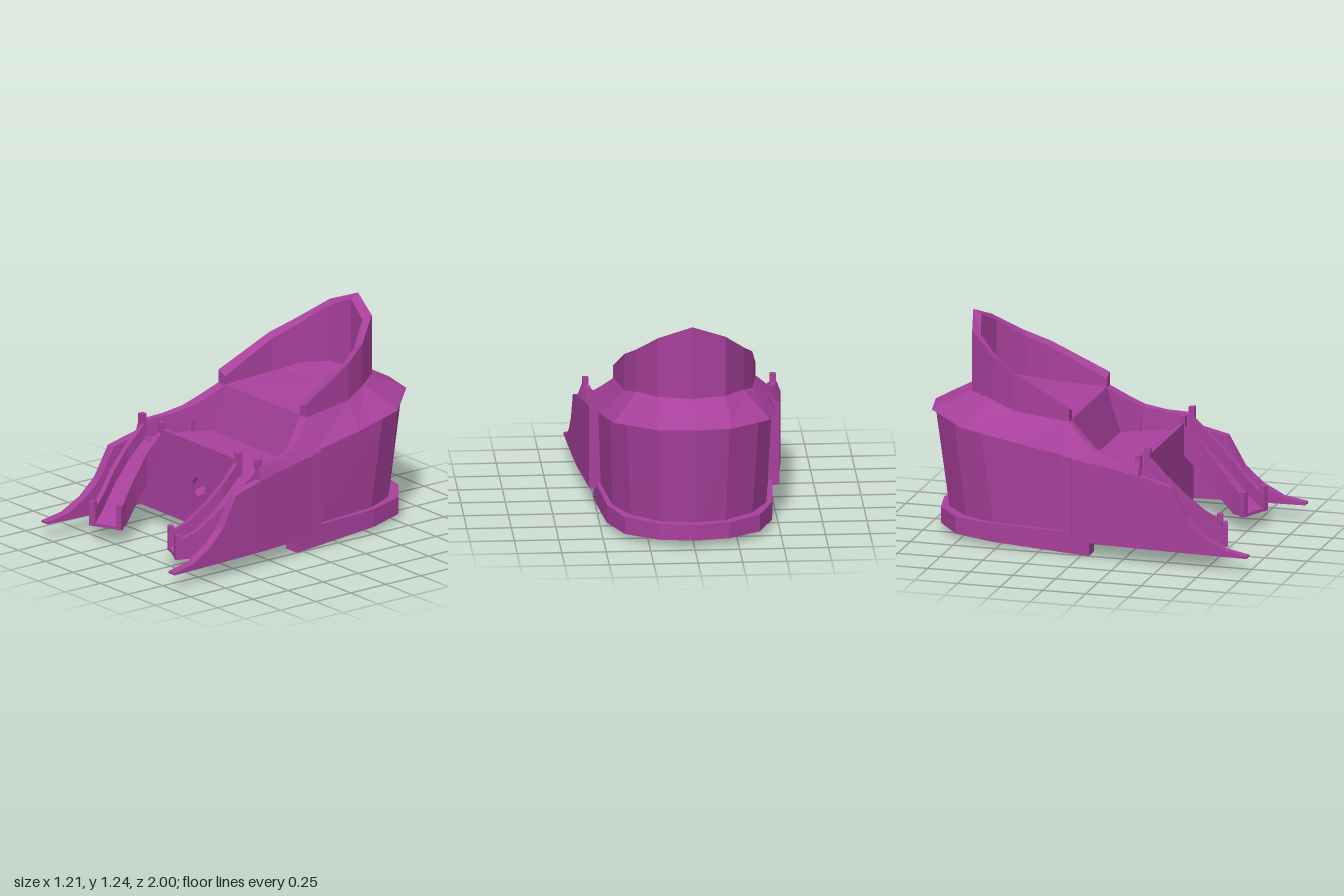
import * as THREE from 'three';

const purple = new THREE.MeshStandardMaterial({ color: 0xa8409c, flatShading: true, side: THREE.DoubleSide });

// Solid through a row of closed cross-sections, capped at both ends
function loft(sections) {
  const pos = [];
  const tri = (a, b, c) => pos.push(...a, ...b, ...c);
  const n = sections[0].length;
  for (let i = 0; i < sections.length - 1; i++) {
    const A = sections[i], B = sections[i + 1];
    for (let j = 0; j < n; j++) {
      const k = (j + 1) % n;
      tri(A[j], A[k], B[k]);
      tri(A[j], B[k], B[j]);
    }
  }
  const cap = (s, flip) => {
    const c = [0, 1, 2].map(a => s.reduce((t, p) => t + p[a], 0) / n);
    s.forEach((p, j) => flip ? tri(c, s[(j + 1) % n], p) : tri(c, p, s[(j + 1) % n]));
  };
  cap(sections[0], true);
  cap(sections[sections.length - 1], false);

  // Turn the faces outward
  let volume = 0;
  const v = i => new THREE.Vector3().fromArray(pos, i);
  for (let i = 0; i < pos.length; i += 9) volume += v(i).dot(v(i + 3).cross(v(i + 6)));
  if (volume < 0) {
    for (let i = 0; i < pos.length; i += 9) {
      for (let a = 0; a < 3; a++) [pos[i + 3 + a], pos[i + 6 + a]] = [pos[i + 6 + a], pos[i + 3 + a]];
    }
  }
  const g = new THREE.BufferGeometry();
  g.setAttribute('position', new THREE.Float32BufferAttribute(pos, 3));
  g.computeVertexNormals();
  return g;
}

const flipX = p => [-p[0], p[1], p[2]];
// Half outline (front to back, ending on x = 0) completed by its mirror image
const mirrorOutline = half => [...half, ...half.slice(0, -1).reverse().map(flipX)];
const mirrorSections = half => [...half, ...half.slice(0, -1).reverse().map(s => s.map(flipX))];

export function createModel() {
  const model = new THREE.Group();
  const add = (name, geometry) => {
    const m = new THREE.Mesh(geometry, purple);
    m.name = name;
    model.add(m);
    return m;
  };
  const box = (name, x0, x1, y0, y1, z0, z1) => add(name, new THREE.BoxGeometry(x1 - x0, y1 - y0, z1 - z0)
    .translate((x0 + x1) / 2, (y0 + y1) / 2, (z0 + z1) / 2));
  const bothSides = (name, sections) => {
    add('left' + name, loft(sections));
    add('right' + name, loft(sections.map(s => s.map(flipX))));
  };

  // Horseshoe plinth: outer x, z, inner x, z, bottom, top
  const plinth = [
    [0.5, 0.045, 0.4, 0.045, 0, 0.1], [0.495, -0.1, 0.395, -0.1, 0.008, 0.13],
    [0.465, -0.53, 0.375, -0.48, 0.028, 0.132], [0.38, -0.77, 0.3, -0.69, 0.033, 0.132],
    [0.2, -0.91, 0.16, -0.82, 0.038, 0.132], [0, -0.95, 0, -0.86, 0.04, 0.132],
  ].map(([x, z, u, w, b, t]) => [[x, b, z], [x, t, z], [u, t, w], [u, b, w]]);
  add('plinth', loft(mirrorSections(plinth)));

  // Drum leaning outward towards the eave
  const drumBase = [[0.47, 0.09, -0.09], [0.43, 0.09, -0.53], [0.34, 0.09, -0.72], [0.18, 0.09, -0.86], [0, 0.09, -0.895]];
  const drumTop = [[0.485, 0.59, -0.09], [0.455, 0.66, -0.6], [0.37, 0.685, -0.78], [0.2, 0.705, -0.94], [0, 0.71, -0.97]];
  add('drum', loft([mirrorOutline(drumBase), mirrorOutline(drumTop)]));

  // Sloping roof and upper floor
  const eave = [[0.5, 0.575, -0.1], [0.492, 0.625, -0.4], [0.44, 0.67, -0.72], [0.21, 0.695, -0.96], [0, 0.7, -1]];
  const floorEdge = [[0.4, 0.745, -0.1], [0.365, 0.77, -0.43], [0.3, 0.81, -0.59], [0.19, 0.82, -0.73], [0, 0.82, -0.78]];
  add('roof', loft([mirrorOutline(eave), mirrorOutline(floorEdge)]));

  // Crest wall: outer x, z, inner x, z, bottom, top
  const crest = [
    [0.4, -0.1, 0.34, -0.1, 0.745, 0.82], [0.36, -0.43, 0.315, -0.41, 0.76, 0.985],
    [0.3, -0.575, 0.26, -0.55, 0.8, 1.055], [0.19, -0.73, 0.155, -0.69, 0.81, 1.165],
    [0, -0.78, 0, -0.73, 0.81, 1.24],
  ].map(([x, z, u, w, b, t]) => [[x, b, z], [x, t, z], [u, t - 0.025, w], [u, b, w]]);
  add('crestWall', loft(mirrorSections(crest)));

  // Deck and the steep step up to the upper floor
  box('deck', -0.52, 0.52, 0.45, 0.48, -0.1, 0.35);
  add('deckStep', loft([-0.4, 0.4].map(x => [[x, 0.745, -0.1], [x, 0.48, -0.03], [x, 0.48, -0.1]])));

  // Front wall with arched doorway and gaps at the ramps
  const wall = new THREE.Shape();
  wall.moveTo(-0.53, 0.085);
  wall.lineTo(-0.06, 0.085);
  wall.lineTo(-0.06, 0.315);
  wall.absarc(0, 0.315, 0.06, Math.PI, 0, true);
  wall.lineTo(0.06, 0.085);
  for (const [x, y] of [[0.53, 0.085], [0.53, 0.575], [0.51, 0.575], [0.51, 0.48], [0.365, 0.48], [0.365, 0.575],
    [-0.365, 0.575], [-0.365, 0.48], [-0.51, 0.48], [-0.51, 0.575], [-0.53, 0.575]]) wall.lineTo(x, y);
  add('frontWall', new THREE.ExtrudeGeometry(wall, { depth: 0.025, bevelEnabled: false, curveSegments: 8 }).translate(0, 0, 0.33));

  // Side wings sweeping forward: z, top, outer x
  bothSides('Wing', [
    [-0.06, 0.57, 0.53], [0.36, 0.507, 0.572], [0.545, 0.46, 0.583], [0.64, 0.288, 0.588],
    [0.743, 0.192, 0.593], [0.866, 0.125, 0.599], [1, 0.1, 0.605],
  ].map(([z, t, x]) => [[x, 0.088, z], [x, t, z], [x - 0.055, t, z], [x - 0.055, 0.088, z]]));

  // Curved parapets beside the deck: z, foot x, y, ridge x, y, inner x
  bothSides('Shoulder', [
    [-0.1, 0.53, 0.57, 0.4, 0.745, 0.34], [0, 0.537, 0.56, 0.46, 0.67, 0.4], [0.08, 0.545, 0.55, 0.5, 0.62, 0.455],
    [0.2, 0.558, 0.53, 0.53, 0.59, 0.495], [0.355, 0.572, 0.507, 0.545, 0.58, 0.52],
  ].map(([z, x, y, rx, ry, u]) => [[x, y, z], [rx, ry, z], [u, ry - 0.005, z], [u - 0.01, 0.47, z]]));

  // Curving ramps: inner x, z, outer x, z, floor height
  const ramp = [
    [0.33, 0.35, 0.53, 0.35, 0.48], [0.335, 0.46, 0.52, 0.48, 0.37], [0.31, 0.56, 0.49, 0.6, 0.265],
    [0.27, 0.66, 0.45, 0.7, 0.17], [0.215, 0.74, 0.39, 0.82, 0.105],
  ];
  const rampStrip = (name, t0, t1, rise) => bothSides(name, ramp.map(([xi, zi, xo, zo, y]) => {
    const at = (t, h) => [xi + (xo - xi) * t, h, zi + (zo - zi) * t];
    const low = Math.max(0.088, y - 0.09), high = y + rise;
    return [at(t0, low), at(t0, high), at(t1, high), at(t1, low)];
  }));
  rampStrip('RampFloor', 0.15, 0.85, 0);
  rampStrip('RampInnerRail', 0, 0.16, 0.085);
  rampStrip('RampOuterRail', 0.84, 1, 0.085);

  for (const s of [-1, 1]) {
    const side = s > 0 ? 'left' : 'right';
    const post = (name, x, z, y0, y1, w, turn) => {
      const m = add(side + name, new THREE.BoxGeometry(w, y1 - y0, w));
      m.position.set(s * x, (y0 + y1) / 2, z);
      m.rotation.y = s * turn;
    };
    // Posts at the head and foot of each ramp
    post('InnerHeadPost', 0.347, 0.345, 0.45, 0.615, 0.033, 0);
    post('OuterHeadPost', 0.527, 0.345, 0.45, 0.62, 0.033, 0);
    post('InnerFootPost', 0.232, 0.735, 0.088, 0.232, 0.033, -0.45);
    post('OuterFootPost', 0.385, 0.805, 0.088, 0.232, 0.033, -0.45);
    // Pier where wing meets drum
    const pier = box(side + 'Pier', 0.46, 0.535, 0.1, 0.575, -0.1, -0.05);
    pier.geometry.scale(s, 1, 1);
    if (s < 0) pier.geometry = new THREE.BoxGeometry(0.075, 0.475, 0.05).translate(-0.4975, 0.3375, -0.075);
    // Small deck fin
    box(side + 'Fin', s * 0.43 - 0.004, s * 0.43 + 0.004, 0.48, 0.55, 0.03, 0.07);
  }
  return model;
}
